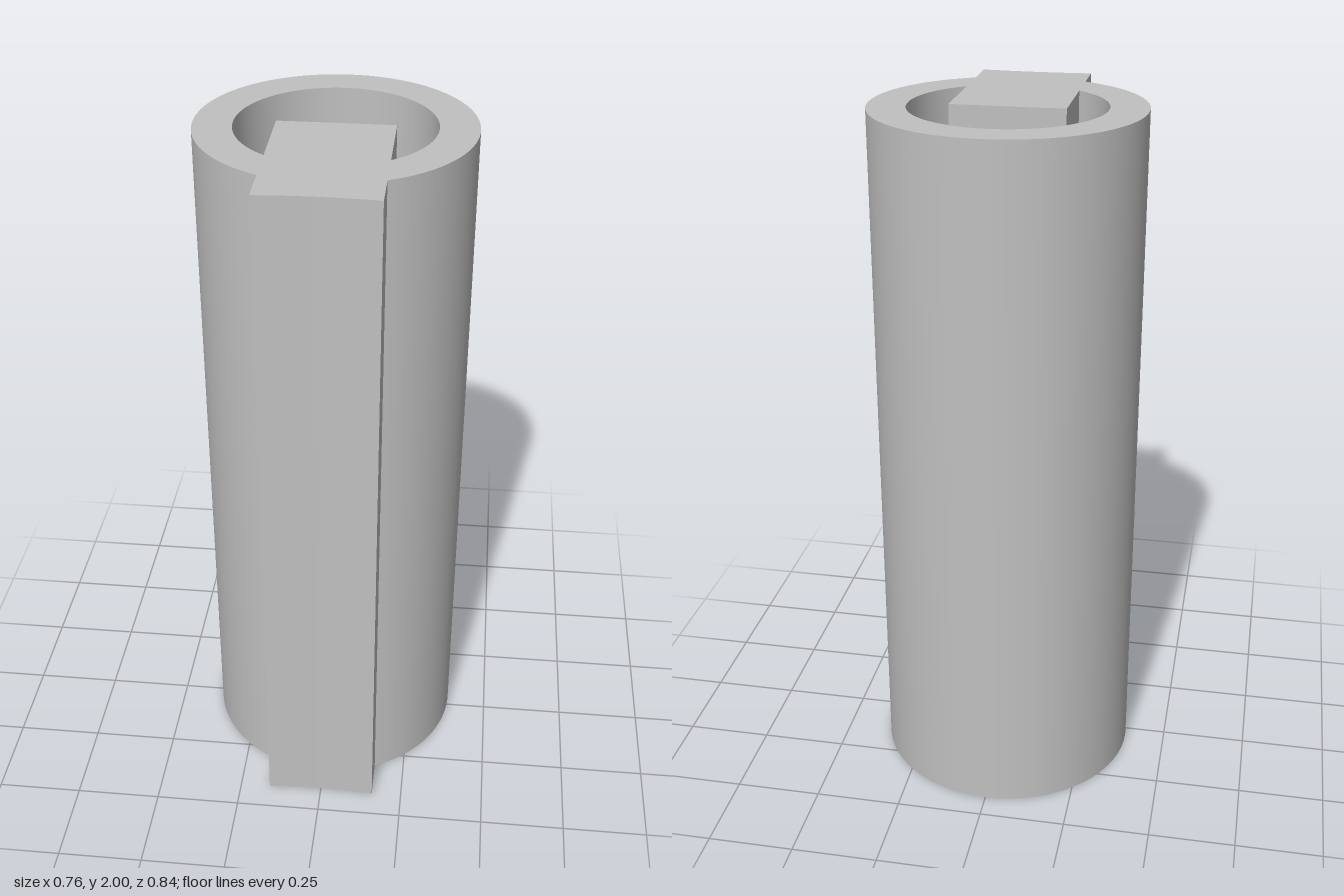
import * as THREE from 'three';
import { toCreasedNormals } from 'three/addons/utils/BufferGeometryUtils.js';

const HEIGHT = 2;
const CENTRE = 0.043;   // ring centre in the profile plane (profile y = -z)
const OUTER = 0.379;
const INNER = 0.272;
const HALF = 0.16;      // half width of the key
const KEY_BACK = 0.055;
const KEY_FRONT = -0.42;

export function createModel() {
  const model = new THREE.Group();
  const grey = new THREE.MeshStandardMaterial({ color: 0xc0c0c0 });
  grey.name = 'plain grey';

  // Outline: ring with the key standing out of its front, whose face is slightly hollow
  const outerAngle = Math.acos(HALF / OUTER);
  const profile = new THREE.Shape();
  profile.moveTo(-HALF, KEY_FRONT);
  profile.quadraticCurveTo(0, KEY_FRONT + 0.014, HALF, KEY_FRONT);
  profile.absarc(0, CENTRE, OUTER, -outerAngle, Math.PI + outerAngle, false);
  profile.closePath();

  // Bore, with the key reaching into it from the front
  const innerAngle = Math.acos(HALF / INNER);
  const bore = new THREE.Path();
  bore.moveTo(-HALF, KEY_BACK);
  bore.lineTo(HALF, KEY_BACK);
  bore.absarc(0, CENTRE, INNER, -innerAngle, Math.PI + innerAngle, false);
  bore.closePath();
  profile.holes.push(bore);

  // Stand the profile upright and smooth the round walls
  const geometry = new THREE.ExtrudeGeometry(profile, {
    depth: HEIGHT, bevelEnabled: false, curveSegments: 40,
  });
  geometry.rotateX(-Math.PI / 2);

  const sleeve = new THREE.Mesh(toCreasedNormals(geometry, 0.5), grey);
  sleeve.name = 'keyedSleeve';
  model.add(sleeve);
  return model;
}
